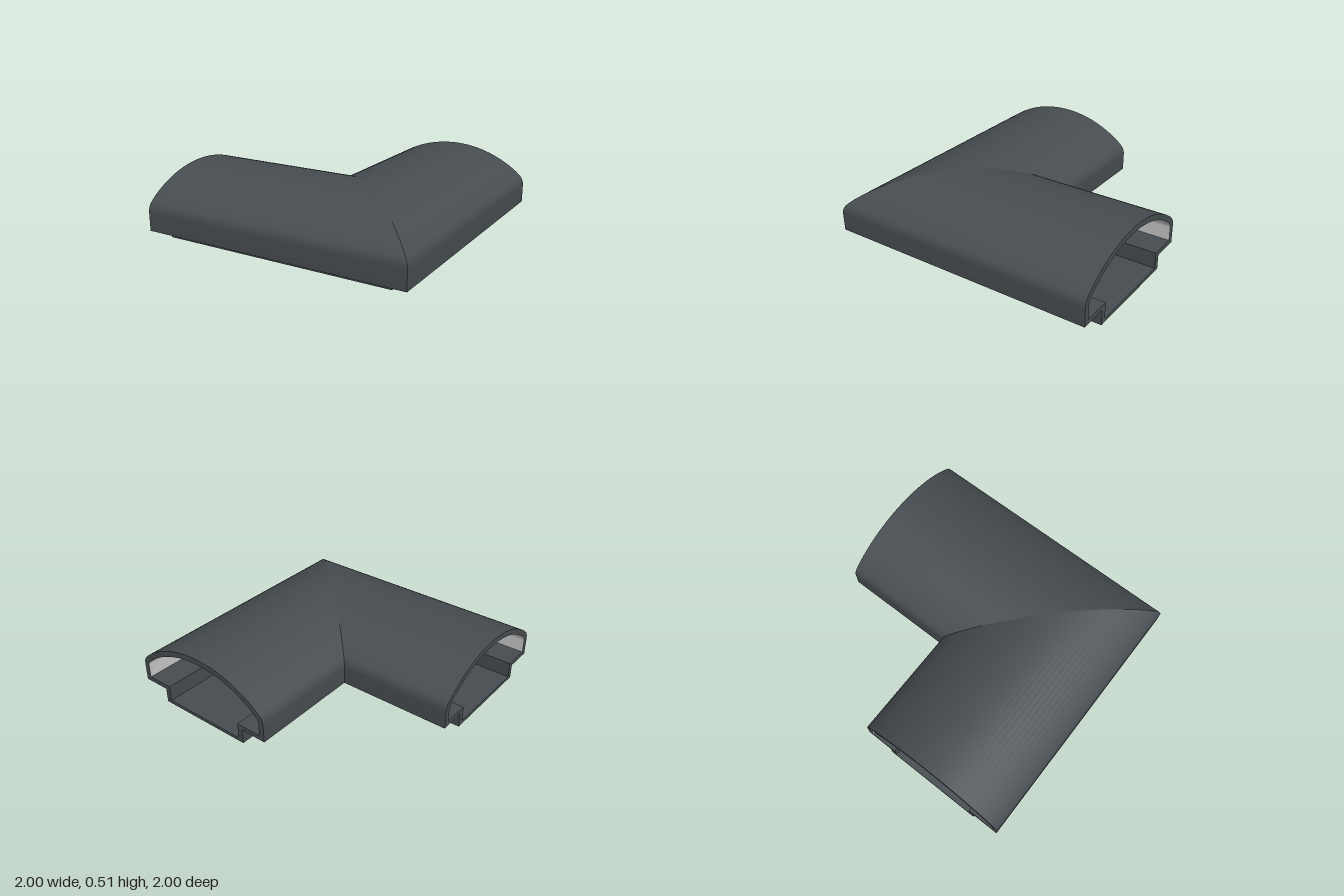
import * as THREE from 'three';
import { toCreasedNormals } from 'three/addons/utils/BufferGeometryUtils.js';

const CENTRE = 0.4225; // middle of the duct's width
const HALF = 0.5775;   // half the duct's width
const HEIGHT = 0.515;
const WALL = 0.042;

const shellMaterial = new THREE.MeshStandardMaterial({ color: 0x464c50 });
shellMaterial.name = 'dark grey shell';
const liningMaterial = new THREE.MeshStandardMaterial({ color: 0xc8c8c8 });
liningMaterial.name = 'light grey lining';

// Cover profile from the outer side over the crown to the inner side:
// a wide crown arc with a tight shoulder arc at each end
function coverProfile(inset, bottom) {
  const angle = 0.685, crown = 0.86, shoulder = 0.095;
  const half = [[HALF - inset, bottom]];
  for (let i = 0; i <= 6; i++) {
    const a = Math.PI / 2 + (angle - Math.PI / 2) * i / 6;
    const r = shoulder - inset;
    half.push([HALF - shoulder + r * Math.sin(a), 0.246 + r * Math.cos(a)]);
  }
  for (let i = 1; i <= 16; i++) {
    const a = angle * (1 - i / 16);
    const r = crown - inset;
    half.push([r * Math.sin(a), HEIGHT - crown + r * Math.cos(a)]);
  }
  const other = half.slice(0, -1).reverse().map(([s, y]) => [-s, y]);
  return [...half, ...other].map(([s, y]) => new THREE.Vector2(CENTRE + s, y));
}

// Stepped channel under the cover, from the inner side to the outer side
function channelProfile(edge, side, lip, floor) {
  return [[-edge, lip], [-side, lip], [-side, floor], [side, floor], [side, lip], [edge, lip]]
    .map(([s, y]) => new THREE.Vector2(CENTRE + s, y));
}

// Sweep a profile from the open end to the diagonal mitre
function sweep(points) {
  const pos = [];
  for (let i = 0; i < points.length - 1; i++) {
    const p = points[i], q = points[i + 1];
    const a = [-1, p.y, p.x], b = [-1, q.y, q.x];
    const c = [q.x, q.y, q.x], d = [p.x, p.y, p.x];
    pos.push(...a, ...d, ...c, ...a, ...c, ...b);
  }
  const geometry = new THREE.BufferGeometry();
  geometry.setAttribute('position', new THREE.Float32BufferAttribute(pos, 3));
  return toCreasedNormals(geometry, 0.6);
}

function createLeg() {
  const leg = new THREE.Group();
  const add = (name, geometry, material) => {
    const mesh = new THREE.Mesh(geometry, material);
    mesh.name = name;
    leg.add(mesh);
    return mesh;
  };

  const lip = 0.11, shelf = 0.145;
  const outerCover = coverProfile(0, lip);
  const innerCover = coverProfile(WALL, shelf);
  const outerChannel = channelProfile(HALF, 0.3775, lip, 0);
  const innerChannel = channelProfile(HALF - WALL, 0.3775 - WALL, shelf, 0.025);

  add('cover', sweep(outerCover), shellMaterial);
  add('coverLining', sweep([...innerCover].reverse()), liningMaterial);
  add('channelOutside', sweep(outerChannel), shellMaterial);
  add('channelInside', sweep([...innerChannel].reverse()), shellMaterial);

  // Cut rim at the open end
  const rim = new THREE.Shape([...outerCover, ...outerChannel.slice(1, -1)]);
  rim.holes.push(new THREE.Path([...innerCover, ...innerChannel.slice(1, -1)]));
  const end = add('endRim', new THREE.ShapeGeometry(rim), shellMaterial);
  end.rotation.y = -Math.PI / 2;
  end.position.x = -1;
  return leg;
}

export function createModel() {
  const model = new THREE.Group();
  model.name = 'cornerDuct';

  const sideLeg = createLeg();
  sideLeg.name = 'sideLeg';

  // The back leg is the side leg mirrored across the mitre
  const backLeg = createLeg();
  backLeg.name = 'backLeg';
  backLeg.scale.z = -1;
  backLeg.rotation.y = -Math.PI / 2;

  model.add(sideLeg, backLeg);
  return model;
}
